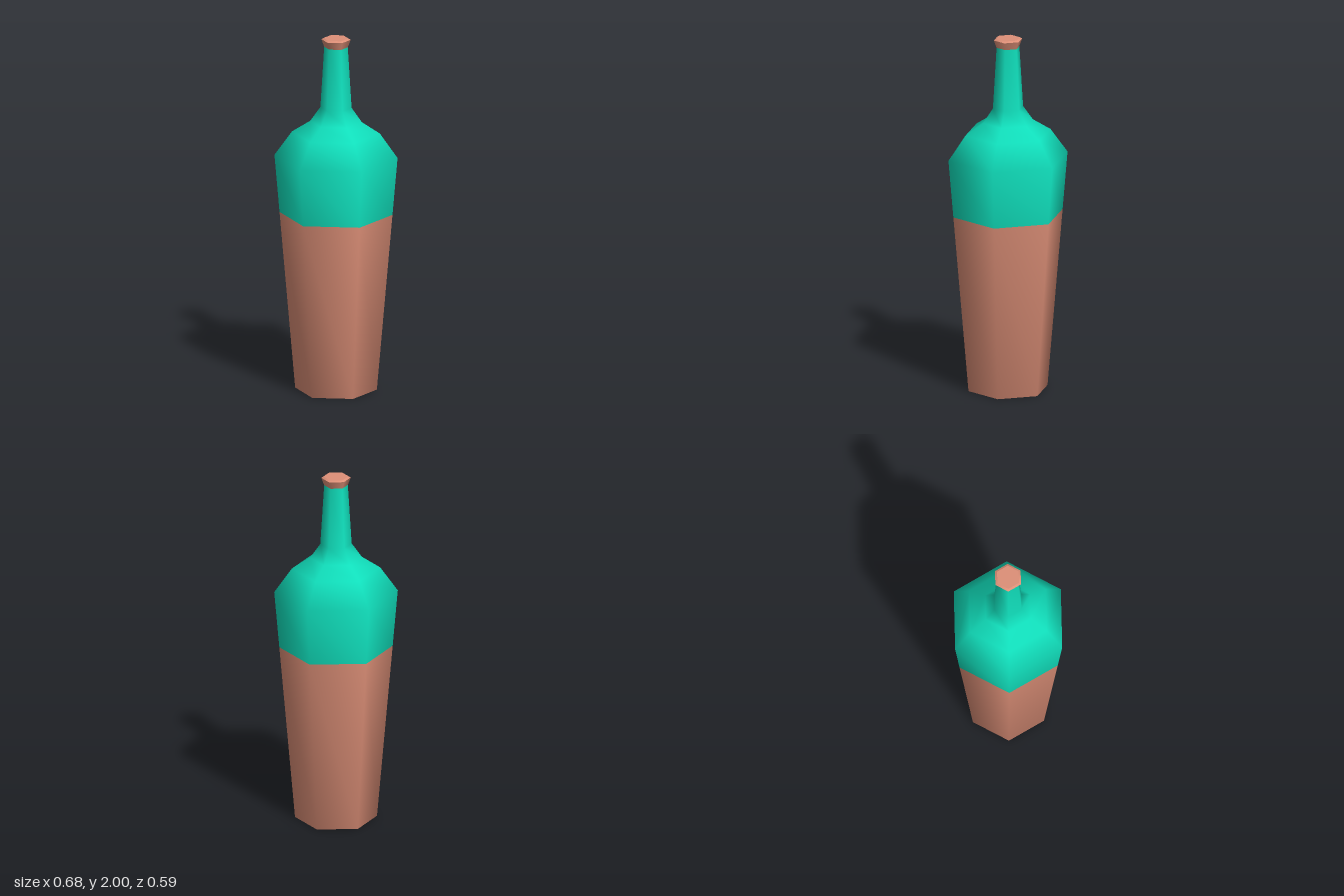
import * as THREE from 'three';

export function createModel() {
  const glass = new THREE.MeshStandardMaterial({ color: 0x10debb });
  glass.name = 'greenGlass';
  const clay = new THREE.MeshStandardMaterial({ color: 0xde9078 });
  clay.name = 'terracotta';

  const bottle = new THREE.Group();
  bottle.name = 'bottle';

  // Six-sided turned part with smooth normals; corners point along +x and -x
  function turned(name, profile, material) {
    const points = profile.map(([r, y]) => new THREE.Vector2(r, y));
    const mesh = new THREE.Mesh(new THREE.LatheGeometry(points, 6, Math.PI / 2), material);
    mesh.name = name;
    bottle.add(mesh);
  }

  // Lower body, closed underneath
  turned('lowerBody', [[0, 0], [0.225, 0], [0.311, 1]], clay);

  // Upper body, shoulder and neck
  turned('shoulderAndNeck', [
    [0.311, 1], [0.339, 1.325], [0.242, 1.462], [0.142, 1.525],
    [0.086, 1.605], [0.065, 1.95],
  ], glass);

  // Flared stopper with a slightly bevelled, flat top
  turned('stopperSide', [[0.065, 1.95], [0.081, 1.993]], clay);
  turned('stopperBevel', [[0.081, 1.993], [0.068, 2]], clay);
  turned('stopperTop', [[0.068, 2], [0, 2]], clay);

  return bottle;
}
